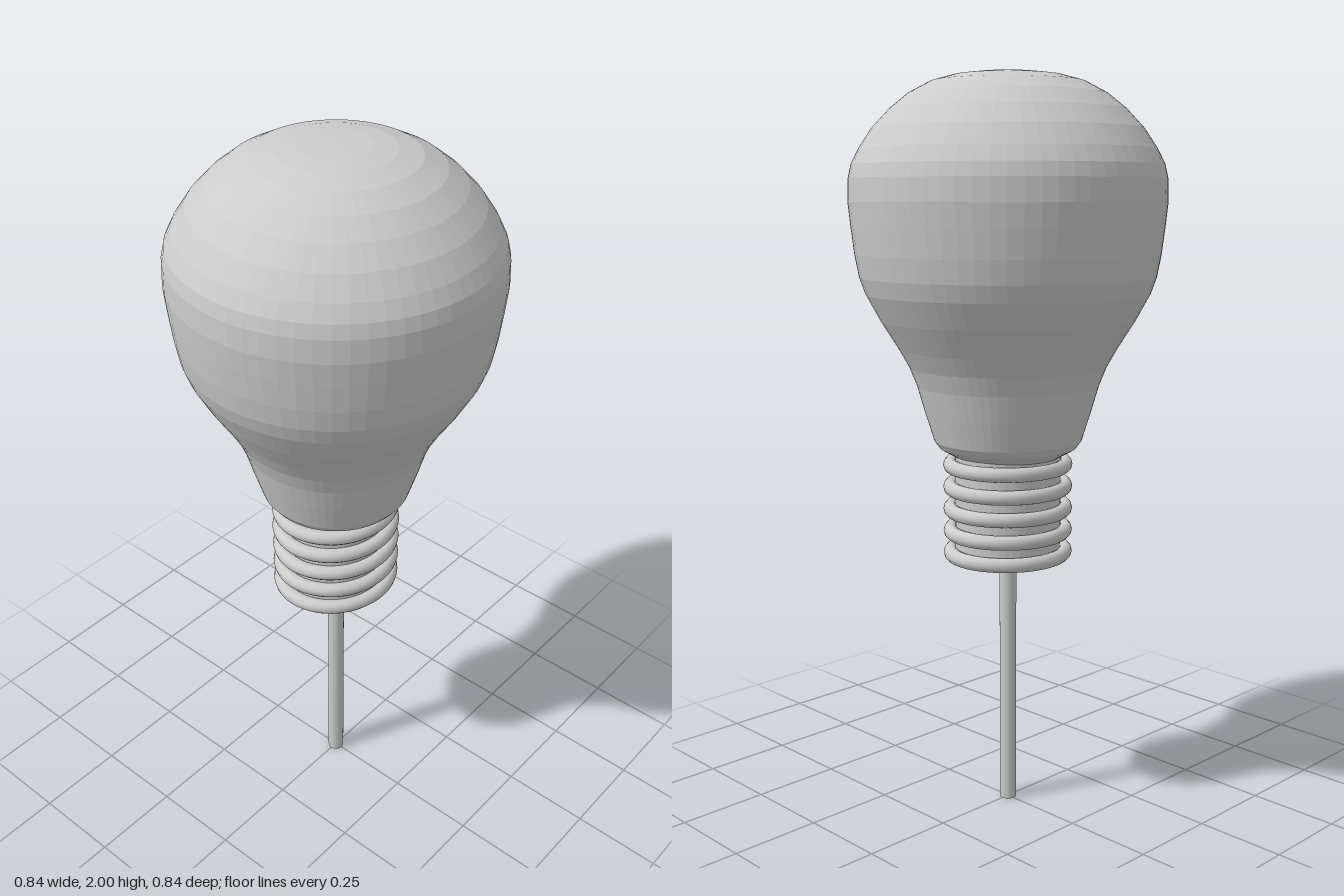
import * as THREE from 'three';

const grey = new THREE.MeshStandardMaterial({ color: 0xcccccc, flatShading: true });
const smoothGrey = new THREE.MeshStandardMaterial({ color: 0xcccccc });

function addMesh(parent, name, geometry, material, y = 0) {
  const mesh = new THREE.Mesh(geometry, material);
  mesh.name = name;
  mesh.position.y = y;
  parent.add(mesh);
  return mesh;
}

export function createModel() {
  const model = new THREE.Group();
  model.name = 'bulbOnStick';

  // Glass bulb: profile from the neck up to the crown
  const profile = [
    [0, 0.99], [0.14, 0.99], [0.185, 1.015], [0.2, 1.035], [0.225, 1.115],
    [0.245, 1.185], [0.265, 1.235], [0.293, 1.285], [0.34, 1.36], [0.378, 1.43],
    [0.394, 1.475], [0.405, 1.535], [0.414, 1.61], [0.42, 1.67], [0.418, 1.73],
    [0.41, 1.765], [0.39, 1.805], [0.355, 1.857], [0.31, 1.905], [0.26, 1.945],
    [0.203, 1.975], [0.145, 1.991], [0.09, 1.998], [0, 2],
  ].map(([r, y]) => new THREE.Vector2(r, y));
  addMesh(model, 'glassBulb', new THREE.LatheGeometry(profile, 64), grey);

  // Screw cap: slightly oval core with stacked thread rings
  const cap = new THREE.Group();
  cap.name = 'screwCap';
  cap.scale.set(0.169 / 0.183, 1, 1);
  model.add(cap);
  addMesh(cap, 'capCore', new THREE.CylinderGeometry(0.15, 0.15, 0.275, 48), grey, 0.8625);
  for (let i = 0; i < 5; i++) {
    const ringGeometry = new THREE.TorusGeometry(0.163, 0.02, 12, 64).rotateX(Math.PI / 2);
    const ring = addMesh(cap, 'threadRing', ringGeometry, smoothGrey, 0.724 + i * 0.061);
    ring.rotation.z = 0.015;
  }

  // Stick the bulb stands on
  addMesh(model, 'stick', new THREE.CylinderGeometry(0.023, 0.023, 0.74, 24), smoothGrey, 0.37);

  return model;
}
